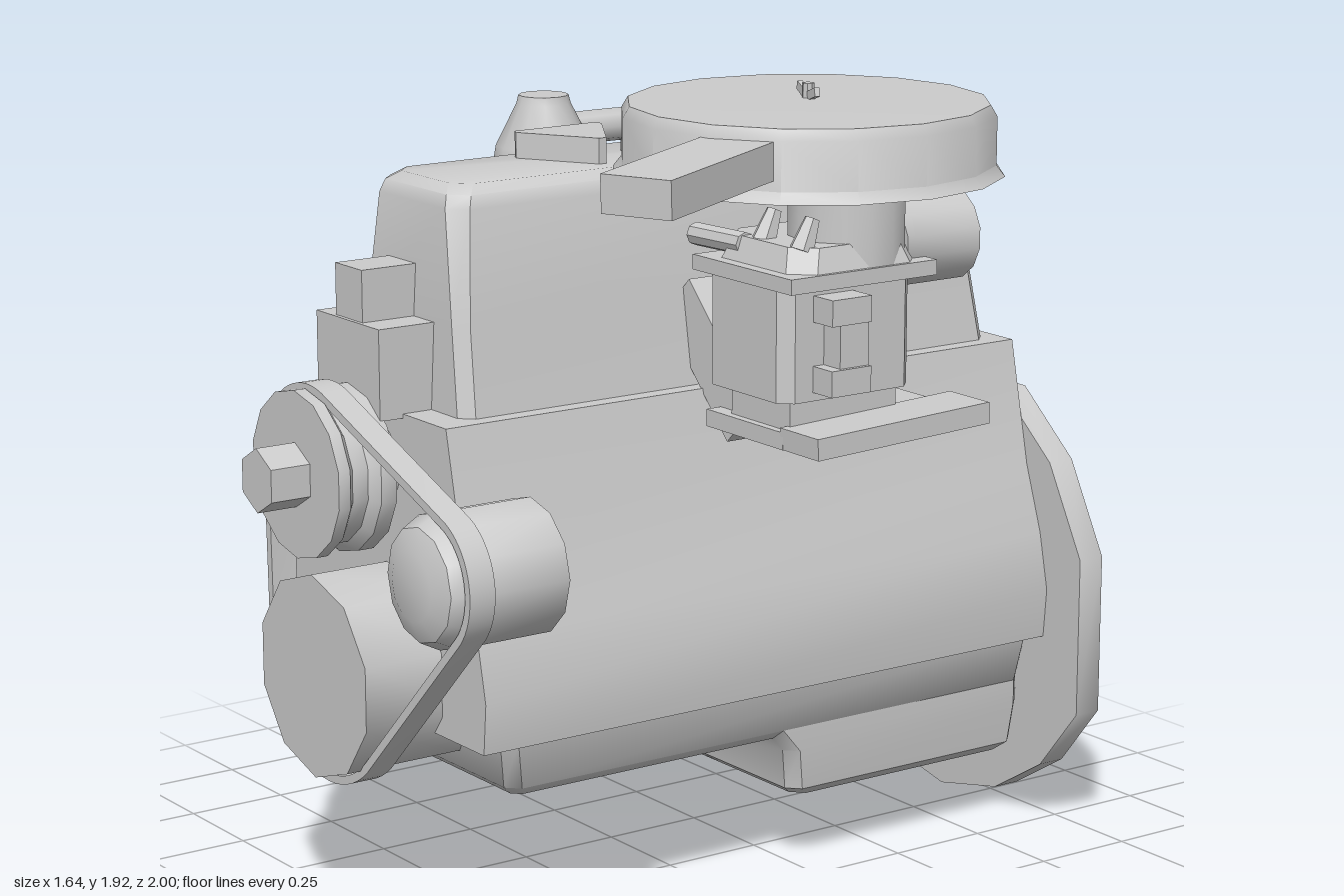
import * as THREE from 'three';
import { toCreasedNormals } from 'three/addons/utils/BufferGeometryUtils.js';

const mat = new THREE.MeshStandardMaterial({ color: 0xcccccc, side: THREE.DoubleSide });
const V = (p) => new THREE.Vector3(...p);

export function createModel() {
  const root = new THREE.Group();

  const add = (name, geo, pos = [0, 0, 0], crease = 0.7) => {
    const mesh = new THREE.Mesh(toCreasedNormals(geo, crease), mat);
    mesh.name = name;
    mesh.position.set(...pos);
    root.add(mesh);
    return mesh;
  };
  // Box given by its min and max corners
  const box = (name, a, b) => add(name,
    new THREE.BoxGeometry(b[0] - a[0], b[1] - a[1], b[2] - a[2]),
    a.map((v, i) => (v + b[i]) / 2));
  // Cylinder or cone from point a to point b
  const rod = (name, a, b, r, sides = 12, r2 = r) => {
    const dir = V(b).sub(V(a));
    const mesh = add(name, new THREE.CylinderGeometry(r2, r, dir.length(), sides),
      a.map((v, i) => (v + b[i]) / 2));
    mesh.quaternion.setFromUnitVectors(new THREE.Vector3(0, 1, 0), dir.normalize());
    return mesh;
  };
  const lathe = (name, pts, sides, pos, forward = false) => {
    const geo = new THREE.LatheGeometry(pts.map(([r, h]) => new THREE.Vector2(r, h)), sides);
    if (forward) geo.rotateX(Math.PI / 2);
    return add(name, geo, pos);
  };
  const tube = (name, pts, r, segments = 24, sides = 8) => add(name,
    new THREE.TubeGeometry(new THREE.CatmullRomCurve3(pts.map(V)), segments, r, sides), [0, 0, 0], 1.2);
  const shape = (pts) => new THREE.Shape(pts.map(([x, y]) => new THREE.Vector2(x, y)));
  // Outline in x, y pushed from z0 to z1
  const slab = (name, outline, z0, z1) => add(name,
    new THREE.ExtrudeGeometry(outline, { depth: z1 - z0, bevelEnabled: false }), [0, 0, z0]);
  // Stack of chamfered rectangles [y, x0, x1, z0, z1, chamfer], bottom to top
  const loft = (name, levels) => {
    const rings = levels.map(([y, x0, x1, z0, z1, c]) => [
      [x1, z0 + c], [x1, z1 - c], [x1 - c, z1], [x0 + c, z1],
      [x0, z1 - c], [x0, z0 + c], [x0 + c, z0], [x1 - c, z0],
    ].map(([x, z]) => [x, y, z]));
    const pos = [];
    const tri = (...p) => p.forEach((q) => pos.push(...q));
    const last = rings.length - 1;
    for (let i = 0; i < 8; i++) {
      const j = (i + 1) % 8;
      for (let k = 0; k < last; k++) {
        tri(rings[k][i], rings[k + 1][i], rings[k][j]);
        tri(rings[k][j], rings[k + 1][i], rings[k + 1][j]);
      }
      if (i > 0 && i < 7) {
        tri(rings[0][0], rings[0][i], rings[0][j]);
        tri(rings[last][0], rings[last][j], rings[last][i]);
      }
    }
    const geo = new THREE.BufferGeometry();
    geo.setAttribute('position', new THREE.Float32BufferAttribute(pos, 3));
    return add(name, geo);
  };

  // Block, rear flange, valve cover and oil pan
  slab('engineBlock', shape([[-0.57, 0.48], [0.27, 0.48], [0.28, 0.6], [0.25, 0.74], [0.195, 0.9], [0.13, 1.2],
    [-0.43, 1.2], [-0.5, 0.98], [-0.57, 0.82], [-0.595, 0.68], [-0.59, 0.57]]), -0.93, 0.7);
  slab('rearFlange', shape([[-0.11, 0], [0.1, 0.045], [0.27, 0.15], [0.4, 0.31], [0.4, 0.7], [0.28, 0.92], [0.1, 1.07],
    [-0.32, 1.07], [-0.5, 0.92], [-0.625, 0.7], [-0.625, 0.31], [-0.52, 0.17], [-0.32, 0.045]]), -1, -0.93);
  loft('valveCover', [
    [1.19, -0.38, 0.09, -0.89, 0.625, 0.03],
    [1.4, -0.365, 0.055, -0.87, 0.615, 0.03],
    [1.66, -0.34, 0.02, -0.845, 0.6, 0.04],
    [1.69, -0.33, 0.01, -0.835, 0.59, 0.04],
    [1.71, -0.3, -0.02, -0.81, 0.565, 0.04],
  ]);
  loft('oilPan', [
    [0.335, -0.46, 0.18, -0.9, 0.56, 0.02],
    [0.36, -0.48, 0.21, -0.92, 0.59, 0.03],
    [0.48, -0.515, 0.235, -0.93, 0.615, 0.03],
  ]);
  loft('oilSump', [
    [0.175, -0.45, 0.17, -0.89, -0.25, 0.03],
    [0.2, -0.48, 0.2, -0.91, -0.215, 0.03],
    [0.3, -0.485, 0.21, -0.92, -0.2, 0.03],
    [0.36, -0.485, 0.21, -0.92, -0.15, 0.03],
  ]);

  // Raised plates on the valve cover
  const coverPlate = (name, pts, h) => {
    const geo = new THREE.ExtrudeGeometry(shape(pts.map(([x, z]) => [x, -z])), { depth: h, bevelEnabled: false });
    add(name, geo.rotateX(-Math.PI / 2), [0, 1.705, 0]);
  };
  coverPlate('triangularPlate', [[-0.27, 0.03], [-0.25, 0.02], [-0.07, 0.13], [-0.07, 0.15], [-0.25, 0.26], [-0.27, 0.25]], 0.065);
  coverPlate('coverRib', [[-0.24, -0.57], [-0.2, -0.56], [-0.01, -0.38], [-0.01, -0.32], [-0.13, -0.24],
    [-0.13, 0], [-0.2, 0], [-0.24, -0.03], [-0.19, -0.13], [-0.19, -0.25], [-0.24, -0.44]], 0.03);

  // Thermostat housing
  box('thermostatHousing', [-0.32, 1.19, 0.56], [-0.05, 1.4, 0.76]);
  box('thermostatOutlet', [-0.25, 1.4, 0.56], [-0.135, 1.52, 0.75]);

  // Front drive: pulleys, alternator and belt
  const crank = [-0.13, 0.6, 0.24], pump = [-0.19, 1.06, 0.19], alternator = [0.315, 0.915, 0.15];
  rod('crankPulley', [-0.13, 0.6, 0.6], [-0.13, 0.6, 0.9], 0.24, 10);
  lathe('waterPumpPulley', [[0, 0.68], [0.12, 0.68], [0.12, 0.75], [0.195, 0.75], [0.195, 0.79], [0.17, 0.81],
    [0.17, 0.85], [0.195, 0.87], [0.195, 0.9], [0, 0.9]], 14, [-0.19, 1.06, 0], true);
  rod('waterPumpHub', [-0.19, 1.06, 0.88], [-0.19, 1.06, 1], 0.075, 6);
  lathe('alternator', [[0, 0.6], [0.155, 0.6], [0.155, 0.84], [0.13, 0.89], [0.08, 0.91], [0, 0.91]],
    12, [0.315, 0.915, 0], true);
  // Outer hull of the three pulley circles, widened by e
  const hull = (e) => Array.from({ length: 60 }, (_, i) => {
    const t = i / 60 * Math.PI * 2, c = Math.cos(t), s = Math.sin(t);
    const reach = (p) => p[0] * c + p[1] * s + p[2];
    const p = [crank, pump, alternator].reduce((a, b) => (reach(b) > reach(a) ? b : a));
    return [p[0] + (p[2] + e) * c, p[1] + (p[2] + e) * s];
  });
  const beltShape = shape(hull(0.015));
  beltShape.holes.push(new THREE.Path(hull(-0.005).map(([x, y]) => new THREE.Vector2(x, y))));
  slab('driveBelt', beltShape, 0.8, 0.865);

  // Air cleaner with snorkel and wing nut
  lathe('airCleaner', [[0, 1.73], [0.445, 1.725], [0.425, 1.75], [0.425, 1.86], [0.41, 1.885], [0, 1.892]],
    16, [0.35, 0, -0.13]);
  const snorkel = add('airSnorkel', new THREE.BoxGeometry(0.17, 0.085, 0.58), [0.62, 1.81, 0.35]);
  snorkel.rotation.set(0.04, 0.43, 0, 'YXZ');
  rod('wingNutStud', [0.35, 1.88, -0.13], [0.35, 1.925, -0.13], 0.014, 8);
  for (const s of [-1, 1]) {
    const wing = add('wingNutWing', new THREE.BoxGeometry(0.05, 0.02, 0.012), [0.35 + s * 0.035, 1.905, -0.13 + s * 0.012]);
    wing.rotation.set(0, -0.3, s * 0.3);
  }

  // Carburetor and intake
  rod('carburetorNeck', [0.43, 1.52, -0.18], [0.43, 1.74, -0.18], 0.135, 14);
  loft('carburetorBody', [
    [1.24, 0.22, 0.52, -0.31, 0.06, 0.03],
    [1.5, 0.22, 0.52, -0.31, 0.06, 0.03],
  ]);
  box('carburetorFlange', [0.2, 1.5, -0.33], [0.57, 1.535, 0.08]);
  loft('carburetorLid', [
    [1.535, 0.22, 0.56, -0.31, 0.05, 0.05],
    [1.59, 0.24, 0.54, -0.29, 0.03, 0.05],
  ]);
  rod('throttleRod', [0.13, 1.565, 0.02], [0.32, 1.57, 0.02], 0.027, 8);
  for (const x of [0.36, 0.5]) rod('lidPost', [x, 1.58, 0], [x, 1.65, -0.03], 0.03, 6, 0.018);
  rod('chokeHousing', [0.42, 1.56, -0.28], [0.42, 1.56, -0.49], 0.11, 14);
  box('linkagePlate', [0.52, 1.26, -0.13], [0.58, 1.48, -0.05]);
  for (const y of [1.26, 1.42]) box('linkageLug', [0.52, y, -0.13], [0.59, y + 0.06, -0.02]);
  box('carburetorFoot', [0.27, 1.16, -0.28], [0.49, 1.25, 0.02]);
  box('carburetorBase', [0.2, 1.13, -0.45], [0.49, 1.17, 0.04]);
  const lever = add('throttleLever', new THREE.BoxGeometry(0.14, 0.05, 0.49), [0.55, 1.165, -0.205]);
  lever.rotation.x = 0.04;
  const intake = add('intakeRunner', new THREE.BoxGeometry(0.36, 0.14, 0.3), [0.15, 1.27, -0.15]);
  intake.rotation.z = -0.8;

  // Breather canister, hose and rear canister
  lathe('breatherCanister', [[0, 1.39], [0.09, 1.39], [0.09, 1.66], [0.12, 1.66], [0.115, 1.69],
    [0.065, 1.79], [0.06, 1.81], [0, 1.81]], 12, [-0.48, 0, 0.03]);
  tube('breatherHose', [[-0.48, 1.72, 0], [-0.475, 1.72, -0.2], [-0.51, 1.7, -0.5], [-0.58, 1.66, -0.74],
    [-0.63, 1.52, -0.86], [-0.66, 1.2, -0.89], [-0.67, 0.88, -0.86]], 0.04, 32);
  rod('rearCanister', [-0.67, 0.92, -0.85], [-0.67, 0.64, -0.71], 0.15, 12);

  // Fuel pump on the side of the block
  rod('fuelPump', [-0.655, 0.63, 0.19], [-0.655, 0.9, 0.19], 0.088, 14);
  const arm = add('fuelPumpBracket', new THREE.BoxGeometry(0.2, 0.06, 0.12), [-0.63, 0.59, 0.19]);
  arm.rotation.z = -0.3;

  // Distributor with drive shaft and cap towers
  rod('distributorShaft', [-0.6, 1.075, -0.43], [-0.6, 1.075, 0], 0.055, 6);
  rod('distributorDrive', [-0.6, 1.075, -0.2], [-0.6, 1.075, -0.06], 0.12, 10);
  rod('distributorNeck', [-0.46, 1.1, -0.23], [-0.55, 1.26, -0.23], 0.08, 10);
  rod('distributorBowl', [-0.53, 1.22, -0.23], [-0.58, 1.32, -0.23], 0.13, 10, 0.14);
  rod('distributorCap', [-0.58, 1.32, -0.23], [-0.62, 1.4, -0.23], 0.14, 10, 0.09);

  // Spark plugs and their wires
  const wires = [
    [[-0.66, 1.42, -0.23], [-0.77, 1.45, -0.3], [-0.76, 1.42, -0.42], [-0.69, 1.38, -0.6], [-0.5, 1.33, -0.7]],
    [[-0.61, 1.42, -0.31], [-0.68, 1.5, -0.38], [-0.66, 1.48, -0.43], [-0.5, 1.33, -0.4]],
    [[-0.62, 1.42, -0.15], [-0.71, 1.47, -0.05], [-0.7, 1.43, 0.05], [-0.5, 1.33, 0.1]],
    [[-0.57, 1.42, -0.18], [-0.66, 1.53, -0.1], [-0.62, 1.48, 0.1], [-0.58, 1.4, 0.36], [-0.5, 1.33, 0.4]],
  ];
  for (const path of wires) {
    const [x, y, z] = path[path.length - 1];
    rod('wireTower', [-0.6, 1.36, (path[0][2] - 0.23) / 2], path[0], 0.028, 6);
    tube('sparkWire', path, 0.016, 20, 6);
    rod('sparkPlug', [x - 0.02, y + 0.005, z], [-0.34, 1.26, z], 0.026, 8);
  }
  tube('coilWire', [[-0.63, 1.4, -0.23], [-0.62, 1.56, -0.2], [-0.57, 1.6, -0.08], [-0.5, 1.5, 0]], 0.014, 16, 6);
  return root;
}
